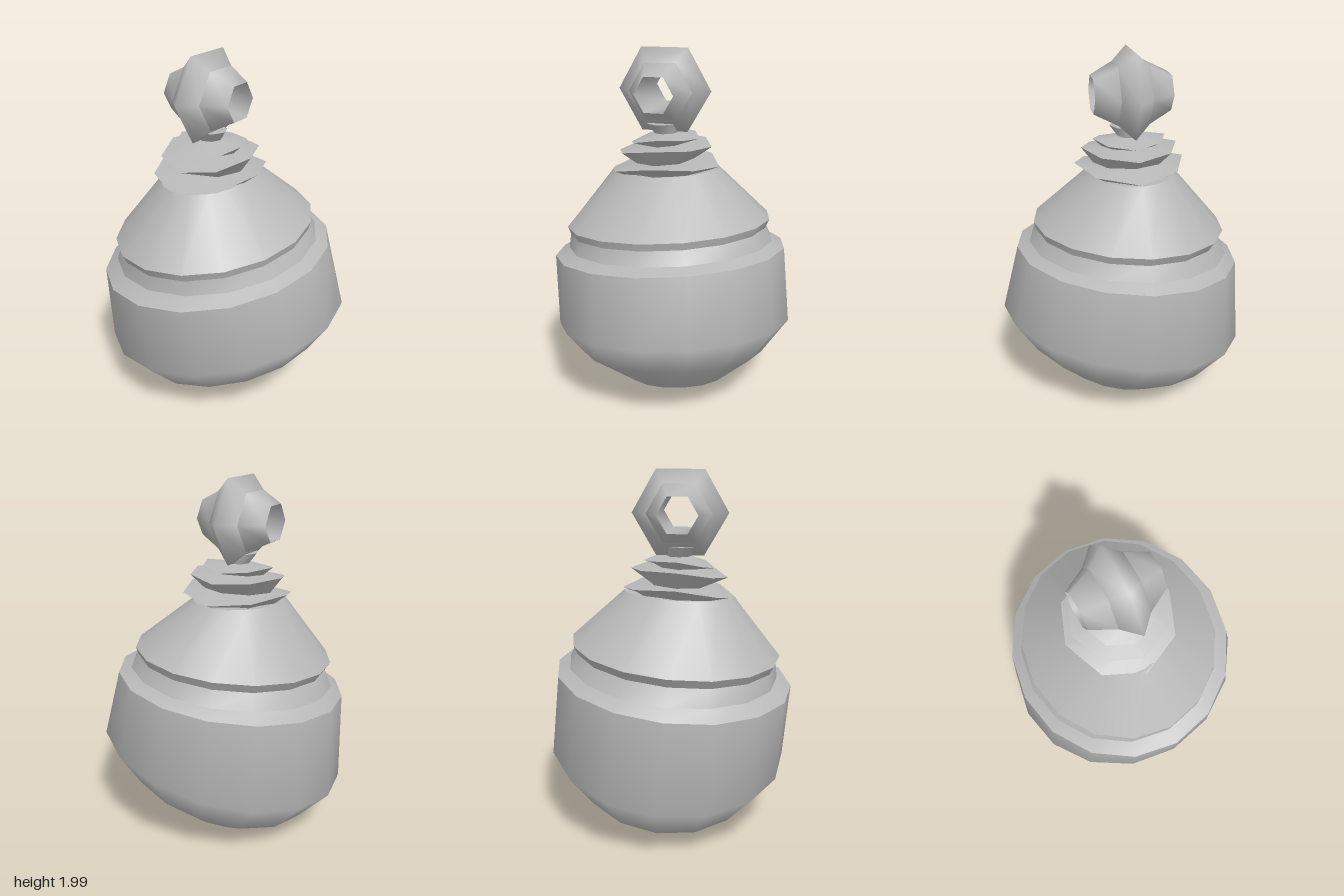
import * as THREE from 'three';

const clay = new THREE.MeshStandardMaterial({ color: 0xb8b8b8 });
clay.name = 'grey clay';

// A ring is a tilted ellipse: centre, radii, height, slopes along x and z, and a saddle bend.
const ring = (cx, cz, rx, rz, y, sx = 0, sz = 0, bend = 0) => ({ cx, cz, rx, rz, y, sx, sz, bend });

// Smooth skin through a run of rings, listed from bottom to top.
function loft(name, rings, sides, phase = 0) {
  const pos = [], idx = [];
  rings.forEach((r, i) => {
    for (let j = 0; j < sides; j++) {
      const t = phase + (j / sides) * Math.PI * 2;
      const dx = r.rx * Math.cos(t), dz = r.rz * Math.sin(t);
      pos.push(r.cx + dx, r.y + r.sx * dx + r.sz * dz + r.bend * Math.cos(2 * t), r.cz + dz);
      if (i === rings.length - 1) continue;
      const a = i * sides + j, b = i * sides + (j + 1) % sides, c = a + sides, d = b + sides;
      idx.push(a, c, b, b, c, d);
    }
  });
  const g = new THREE.BufferGeometry();
  g.setAttribute('position', new THREE.Float32BufferAttribute(pos, 3));
  g.setIndex(idx);
  g.computeVertexNormals();
  const mesh = new THREE.Mesh(g, clay);
  mesh.name = name;
  return mesh;
}

// One separate band per pair of rings keeps the edges between them sharp.
function bands(name, rings, sides, phase = 0) {
  const group = new THREE.Group();
  group.name = name;
  for (let i = 0; i < rings.length - 1; i++) {
    group.add(loft(name + 'Band' + (i + 1), [rings[i], rings[i + 1]], sides, phase));
  }
  return group;
}

export function createModel() {
  const model = new THREE.Group();
  model.name = 'ornament';

  // Round lopsided belly
  const rim = ring(-0.035, 0.03, 0.625, 0.66, 0.877, 0.104, -0.09);
  model.add(loft('belly', [
    ring(0.07, -0.04, 0, 0, 0.035),
    ring(0.05, -0.05, 0.31, 0.28, 0.1, 0.27, -0.09),
    ring(0.03, -0.02, 0.54, 0.52, 0.262, 0.25, -0.09),
    ring(0, -0.01, 0.69, 0.67, 0.457, 0.195, -0.09),
    rim,
  ], 16));

  // Shoulder, groove and lid lip
  const groove = ring(-0.04, 0.025, 0.56, 0.585, 0.92, 0.09, -0.085);
  const underLip = ring(-0.035, 0.04, 0.515, 0.56, 1.0, 0.08, -0.085);
  const lip = ring(-0.045, 0.04, 0.535, 0.58, 1.045, 0.07, -0.085);
  model.add(bands('shoulder', [rim, groove, underLip, lip], 16));

  // Conical lid
  const lidTop = ring(-0.065, 0.06, 0.235, 0.3, 1.345, 0, -0.05);
  model.add(bands('lid', [lip, lidTop, ring(-0.055, 0.06, 0, 0, 1.345)], 16));

  // Stack of flared, bent collars
  const cx = -0.055, cz = 0.06;
  model.add(bands('collar', [
    ring(cx, cz, 0.19, 0.19, 1.315, 0, -0.05),
    ring(cx, cz, 0.305, 0.31, 1.375, 0, -0.08, 0.03),
    ring(cx, cz, 0.2, 0.17, 1.4, 0, -0.05),
    ring(cx, cz, 0.265, 0.265, 1.472, 0, -0.09, 0.018),
    ring(cx, cz, 0.155, 0.12, 1.492, 0, -0.05),
    ring(cx, cz, 0.2, 0.195, 1.518, 0, -0.1, 0.018),
    ring(cx, cz, 0.065, 0.065, 1.545),
    ring(cx, cz + 0.015, 0.105, 0.09, 1.6),
    ring(cx, cz + 0.015, 0, 0, 1.6),
  ], 8));

  // Hexagonal bead with a hole along x
  const bead = new THREE.Group();
  bead.name = 'bead';
  const hex = (r, y) => ring(0, 0, r, r, y);
  const add = (name, rings) => bead.add(loft(name, rings, 6, Math.PI / 6));
  add('beadRightEnd', [hex(0.107, -0.21), hex(0.175, -0.085)]);
  add('beadRidge', [hex(0.175, -0.085), hex(0.26, 0), hex(0.175, 0.085)]);
  add('beadLeftEnd', [hex(0.175, 0.085), hex(0.107, 0.21)]);
  add('beadHole', [hex(0.107, 0.21), hex(0.107, -0.21)]);
  bead.rotation.z = -Math.PI / 2;
  bead.position.set(-0.065, 1.775, 0.065);
  model.add(bead);

  return model;
}
